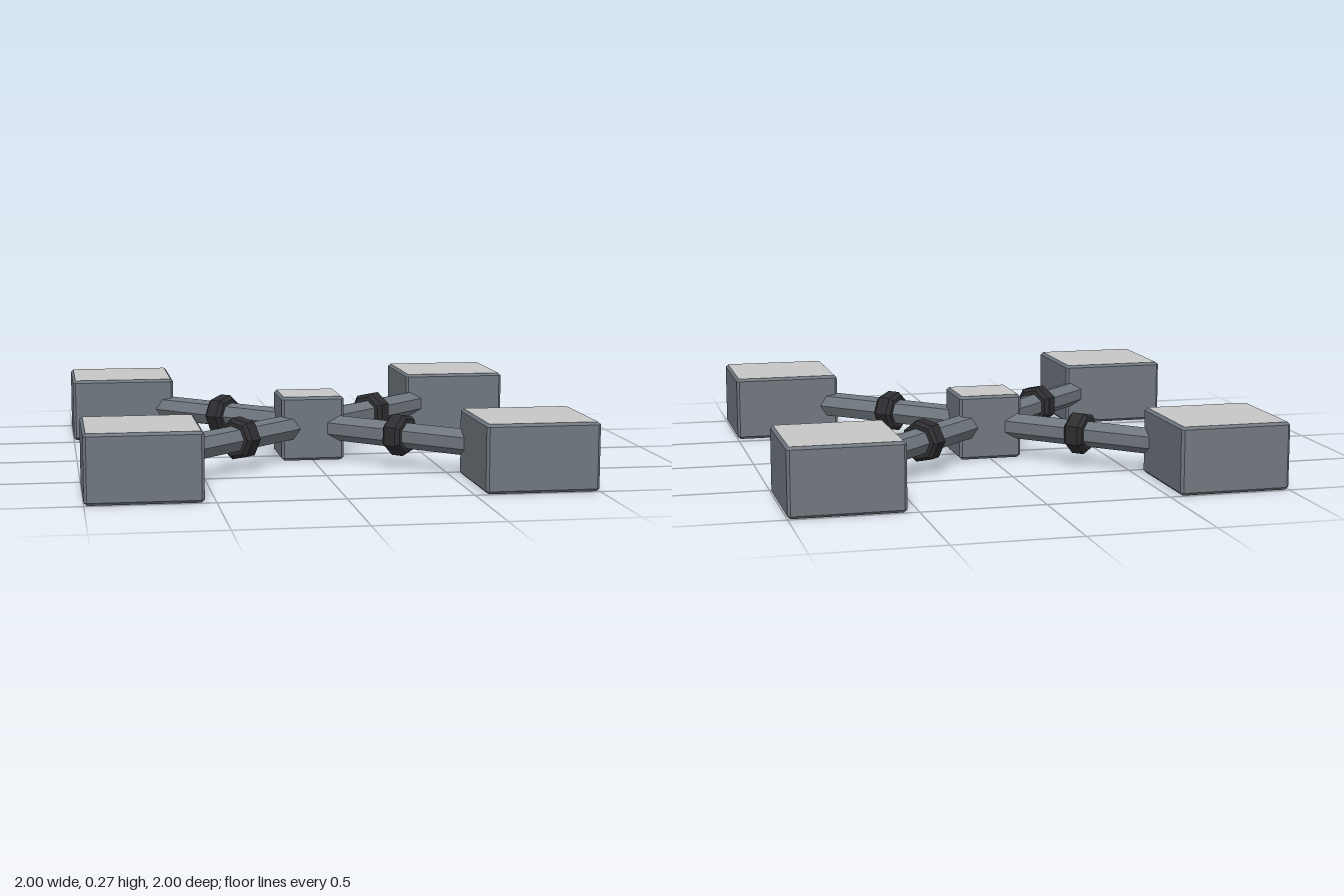
import * as THREE from 'three';

const HEIGHT = 0.274;
const MID = HEIGHT / 2;
const CHAMFER = 0.011;
const SIDES = 7;

// Faceted normals for low-poly parts
function faceted(geometry) {
  const flat = geometry.toNonIndexed();
  flat.computeVertexNormals();
  return flat;
}

// Square block with chamfered edges; group 0 = top and bottom, group 1 = sides
function chamferedBlock(size) {
  const h = size / 2, k = h - CHAMFER;
  const outline = new THREE.Shape([
    [h, -k], [h, k], [k, h], [-k, h], [-h, k], [-h, -k], [-k, -h], [k, -h],
  ].map(([x, y]) => new THREE.Vector2(x, y)));
  const block = new THREE.ExtrudeGeometry(outline, {
    depth: HEIGHT - 2 * CHAMFER,
    bevelEnabled: true,
    bevelSegments: 1,
    bevelSize: CHAMFER,
    bevelThickness: CHAMFER,
    bevelOffset: -CHAMFER,
  });
  return block.translate(0, 0, CHAMFER).rotateX(-Math.PI / 2);
}

export function createModel() {
  const model = new THREE.Group();
  model.name = 'crossFrame';

  const paleGrey = new THREE.MeshStandardMaterial({ color: 0xc6c6c6 });
  paleGrey.name = 'pale grey';
  const steelGrey = new THREE.MeshStandardMaterial({ color: 0x70777f });
  steelGrey.name = 'steel grey';
  const darkGrey = new THREE.MeshStandardMaterial({ color: 0x2e2e32 });
  darkGrey.name = 'dark grey';

  function add(parent, name, geometry, material, x = 0, y = 0, z = 0) {
    const mesh = new THREE.Mesh(geometry, material);
    mesh.name = name;
    mesh.position.set(x, y, z);
    parent.add(mesh);
  }

  // Central hub
  add(model, 'centralHub', chamferedBlock(0.268), [paleGrey, steelGrey]);

  const blockGeometry = chamferedBlock(0.455);

  // Seven-sided rod lying along x
  const rodGeometry = faceted(
    new THREE.CylinderGeometry(0.056, 0.056, 0.86, SIDES, 1, false, Math.PI)
  ).rotateZ(-Math.PI / 2);

  // Chamfered collar around the rod
  const collarProfile = [
    [0.05, -0.042], [0.074, -0.042], [0.089, -0.027],
    [0.089, 0.027], [0.074, 0.042], [0.05, 0.042],
  ].map(([r, y]) => new THREE.Vector2(r, y));
  const collarGeometry = faceted(
    new THREE.LatheGeometry(collarProfile, SIDES, Math.PI)
  ).rotateZ(-Math.PI / 2);

  // Four arms, each with rod, collar and end block
  for (let i = 0; i < 4; i++) {
    const arm = new THREE.Group();
    arm.name = `arm${i + 1}`;
    arm.rotation.y = -i * Math.PI / 2;

    const strut = new THREE.Group();
    strut.name = 'strut';
    strut.rotation.y = -Math.PI / 4;
    add(strut, 'rod', rodGeometry, steelGrey, 0.48, MID);
    add(strut, 'collar', collarGeometry, darkGrey, 0.477, MID);
    arm.add(strut);

    add(arm, 'endBlock', blockGeometry, [paleGrey, steelGrey], 0.7725, 0, 0.7725);
    model.add(arm);
  }

  return model;
}
